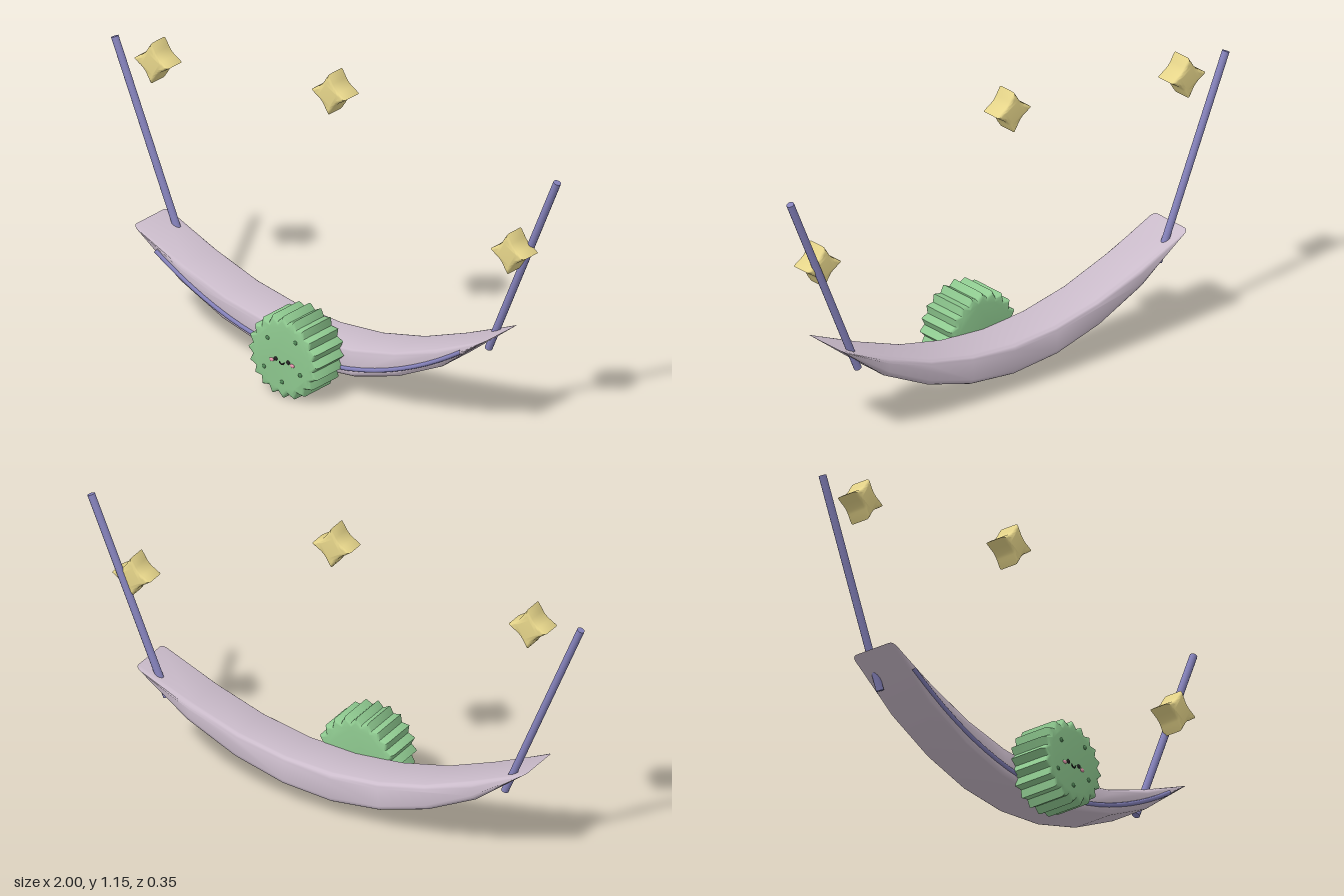
import * as THREE from 'three';
import { toCreasedNormals } from 'three/addons/utils/BufferGeometryUtils.js';

const mat = (color) => new THREE.MeshStandardMaterial({ color });
const CLOTH = mat(0xcbbccb), ROPE = mat(0x8582bb), GOLD = mat(0xe6d58a);
const GREEN = mat(0x8fca90), DARK_GREEN = mat(0x4f8556), BLACK = mat(0x222222), PINK = mat(0xe79ab0);

function add(parent, name, geometry, material, x = 0, y = 0, z = 0) {
  const mesh = new THREE.Mesh(geometry, material);
  mesh.name = name;
  mesh.position.set(x, y, z);
  parent.add(mesh);
  return mesh;
}

// Bevelled extrusion whose full thickness runs from z0 to z1
function slab(shape, z0, z1, bevel, curveSegments, crease) {
  const geometry = new THREE.ExtrudeGeometry(shape, {
    depth: z1 - z0 - 2 * bevel, bevelThickness: bevel, bevelSize: bevel, bevelSegments: 4, curveSegments,
  });
  geometry.translate(0, 0, z0 + bevel);
  return toCreasedNormals(geometry, crease);
}

function rod(from, to, radius) {
  const geometry = new THREE.CylinderGeometry(radius, radius, from.distanceTo(to), 12);
  const dir = to.clone().sub(from).normalize();
  geometry.applyQuaternion(new THREE.Quaternion().setFromUnitVectors(new THREE.Vector3(0, 1, 0), dir));
  const mid = from.clone().add(to).multiplyScalar(0.5);
  return geometry.translate(mid.x, mid.y, mid.z);
}

// Four-pointed star with concave sides
function starShape(r, c) {
  const s = new THREE.Shape();
  s.moveTo(r, 0);
  s.quadraticCurveTo(c, c, 0, r);
  s.quadraticCurveTo(-c, c, -r, 0);
  s.quadraticCurveTo(-c, -c, 0, -r);
  s.quadraticCurveTo(c, -c, r, 0);
  return s;
}

// Round outline with pointed teeth
function toothedShape(outer, inner, teeth) {
  const points = [];
  for (let i = 0; i < teeth * 2; i++) {
    const a = (i / (teeth * 2)) * Math.PI * 2 + Math.PI / 2;
    const r = i % 2 ? inner : outer;
    points.push(new THREE.Vector2(Math.cos(a) * r, Math.sin(a) * r));
  }
  return new THREE.Shape(points);
}

export function createModel() {
  const model = new THREE.Group();
  model.name = 'hammockScene';

  // Crescent hammock
  const crescent = new THREE.Shape();
  crescent.moveTo(-0.76, 0.373);
  crescent.quadraticCurveTo(0, -0.207, 0.76, 0.373);
  crescent.quadraticCurveTo(0, -0.06, -0.76, 0.373);
  add(model, 'hammock', slab(crescent, -0.175, 0.018, 0.02, 8, 1.0), CLOTH);

  // Piping along the front edge
  const piping = new THREE.QuadraticBezierCurve3(
    new THREE.Vector3(-0.68, 0.32, 0.02), new THREE.Vector3(0, -0.125, 0.02), new THREE.Vector3(0.68, 0.32, 0.02));
  add(model, 'frontPiping', new THREE.TubeGeometry(piping, 24, 0.008, 8), ROPE);

  // Hanging ropes
  for (const side of [-1, 1]) {
    add(model, side < 0 ? 'rightRope' : 'leftRope', rod(
      new THREE.Vector3(side * 0.68, 0.28, -0.134), new THREE.Vector3(side * 0.986, 1.0, -0.134), 0.014), ROPE);
  }

  // Floating stars
  const star = slab(starShape(0.06, 0.016), -0.044, 0.044, 0.012, 8, 0.7);
  for (const [x, y, z] of [[-0.79, 0.966, -0.13], [0, 1.071, -0.13], [0.828, 0.71, -0.092]]) {
    add(model, 'star', star, GOLD, x, y, z);
  }

  // Round toothed character at the front
  const buddy = new THREE.Group();
  buddy.name = 'cactusBall';
  buddy.position.set(0, 0.156, 0);
  model.add(buddy);
  add(buddy, 'body', slab(toothedShape(0.137, 0.119, 20), 0.002, 0.168, 0.014, 4, 0.7), GREEN);

  const bead = new THREE.SphereGeometry(1, 12, 8);
  for (const [x, y] of [[-0.064, 0.06], [0.06, 0.074], [-0.08, -0.054], [0.081, -0.044], [0, -0.092]]) {
    add(buddy, 'spot', bead, DARK_GREEN, x, y, 0.168).scale.set(0.008, 0.008, 0.005);
  }

  // Face
  for (const side of [-1, 1]) {
    add(buddy, 'eye', bead, BLACK, side * 0.028, -0.01, 0.168).scale.set(0.008, 0.008, 0.005);
    add(buddy, 'cheek', bead, PINK, side * 0.046, -0.018, 0.168).scale.set(0.01, 0.007, 0.004);
  }
  const smile = new THREE.TorusGeometry(0.01, 0.0025, 6, 12, Math.PI);
  smile.rotateZ(Math.PI);
  add(buddy, 'smile', smile, BLACK, 0, -0.014, 0.169);

  return model;
}
